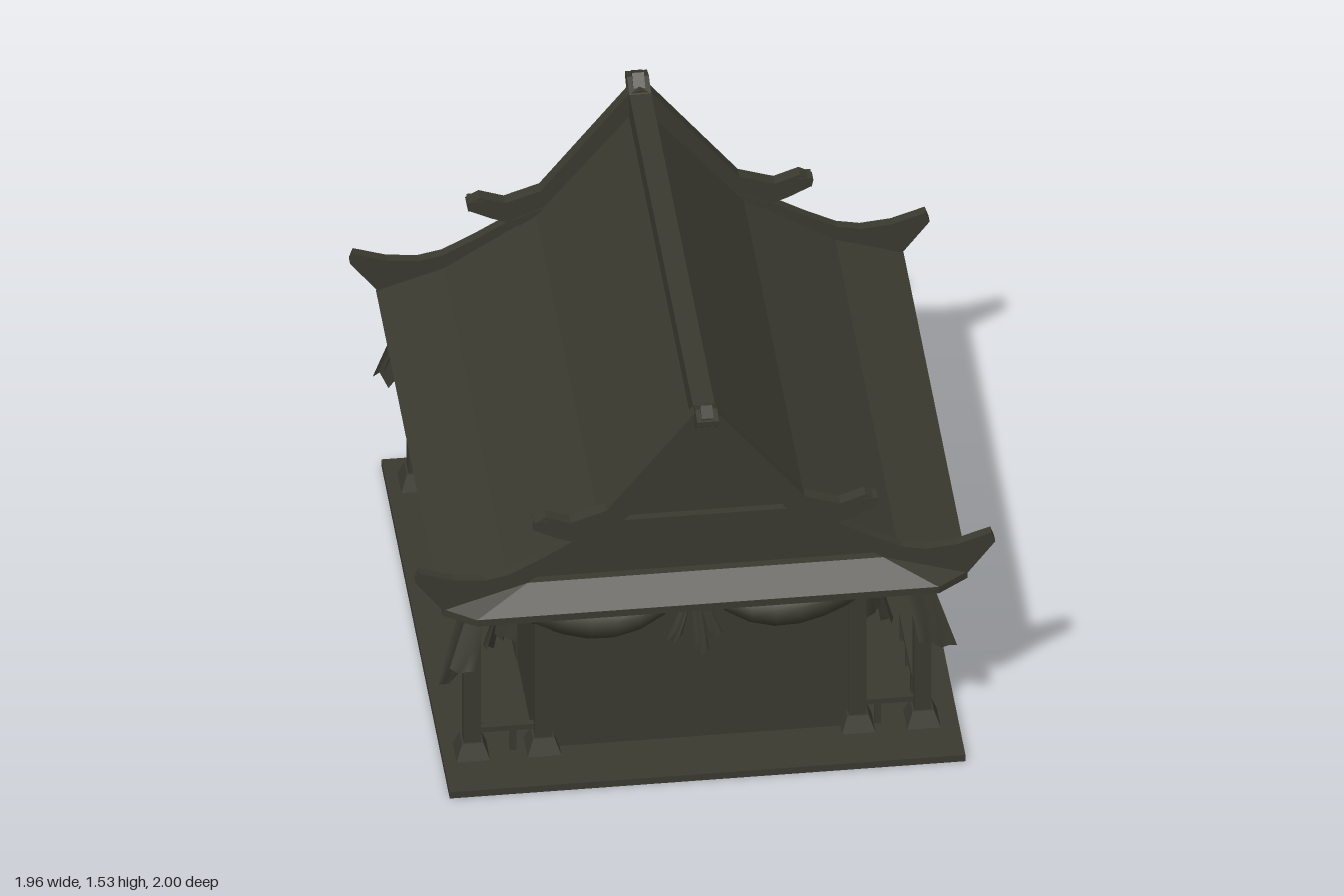
import * as THREE from 'three';

const timber = new THREE.MeshStandardMaterial({ color: 0x3a392f, side: THREE.DoubleSide });
timber.name = 'dark olive timber';

export function createModel() {
  const model = new THREE.Group();
  const add = (name, geo, x = 0, y = 0, z = 0, parent = model) => {
    const m = new THREE.Mesh(geo, timber);
    m.name = name;
    m.position.set(x, y, z);
    parent.add(m);
    return m;
  };
  const box = (name, w, h, d, x, y, z, parent) =>
    add(name, new THREE.BoxGeometry(w, h, d), x, y, z, parent);
  const shapeOf = pts => new THREE.Shape(pts.map(p => new THREE.Vector2(p[0], p[1])));
  const prism = (shape, depth) =>
    new THREE.ExtrudeGeometry(shape, { depth, bevelEnabled: false, curveSegments: 6 });
  // Square tapered block standing on y = 0
  const taper = (bottom, top, h) => {
    const g = new THREE.CylinderGeometry(top * Math.SQRT2, bottom * Math.SQRT2, h, 4).toNonIndexed();
    g.rotateY(Math.PI / 4).translate(0, h / 2, 0).computeVertexNormals();
    return g;
  };
  const mirror = pts => [...pts, ...pts.map(([x, y]) => [-x, y]).reverse()];
  const signs = [1, -1];

  // Floor slab, open under the room
  const floor = shapeOf([[-0.87, -0.985], [0.87, -0.985], [0.87, 0.905], [-0.87, 0.905]]);
  floor.holes.push(new THREE.Path([[-0.53, -0.75], [-0.53, 0.75], [0.53, 0.75], [0.53, -0.75]]
    .map(p => new THREE.Vector2(...p))));
  add('floorSlab', prism(floor, 0.026).rotateX(-Math.PI / 2));

  // Room walls and arched side doors, seen inside and out
  const arch = new THREE.Shape();
  arch.moveTo(-0.255, 0.026);
  arch.lineTo(0.255, 0.026);
  arch.lineTo(0.255, 0.33);
  arch.quadraticCurveTo(0.23, 0.48, 0.085, 0.515);
  arch.lineTo(-0.085, 0.515);
  arch.quadraticCurveTo(-0.23, 0.48, -0.255, 0.33);
  for (const s of signs) {
    box('endWall', 1.1, 0.7, 0.02, 0, 0.37, s * 0.76);
    box('sideWall', 0.02, 0.7, 1.52, s * 0.545, 0.37, 0);
    const door = add('archedDoor', prism(arch, 0.03).translate(0, 0, -0.015), s * 0.545, 0, 0.015);
    door.rotation.y = Math.PI / 2;
  }

  // Columns with plinths and capitals, then corner railings
  for (const sx of signs) for (const sz of signs) {
    for (const x of [sx * 0.53, sx * 0.76 - 0.01]) {
      const column = new THREE.Group();
      column.name = Math.abs(x) > 0.6 ? 'cornerColumn' : 'wallColumn';
      column.position.set(x, 0, sz * 0.765);
      model.add(column);
      add('plinth', taper(0.057, 0.036, 0.06), 0, 0.025, 0, column);
      box('shaft', 0.058, 0.66, 0.058, 0, 0.39, 0, column);
      add('capital', taper(0.038, 0.055, 0.09), 0, 0.63, 0, column);
    }
    box('sideRail', 0.022, 0.02, 0.44, sx * 0.74, 0.12, sz * 0.525);
    for (const z of [0.605, 0.455, 0.31])
      box('railPost', 0.018, 0.09, 0.018, sx * 0.74, 0.07, sz * z);
    box('endRail', 0.18, 0.02, 0.022, sx * 0.65, 0.12, sz * 0.765);
    box('railPost', 0.022, 0.09, 0.018, sx * 0.615 - 0.015, 0.07, sz * 0.765);
  }

  // Eave slab with cut corners
  const eave = shapeOf([[0.885, -0.92], [0.885, 0.92], [0.78, 0.995], [-0.78, 0.995],
    [-0.885, 0.92], [-0.885, -0.92], [-0.78, -0.995], [0.78, -0.995]]);
  add('eaveSlab', prism(eave, 0.026).rotateX(-Math.PI / 2), 0, 0.715, 0);

  // Main roof, a curved profile run along z
  const roof = shapeOf(mirror([[0.04, 1.39], [0.35, 1.01], [0.66, 0.815], [0.89, 0.74], [0.885, 0.725]]));
  add('mainRoof', prism(roof, 1.79), 0, 0, -0.895);

  // Sloping skirt with a small ledge under each gable
  const skirtGeometry = () => {
    const low = [[-0.885, 0.74, 0.92], [-0.78, 0.74, 0.995], [0.78, 0.74, 0.995], [0.885, 0.74, 0.92]];
    const [a, b] = [[-0.6, 0.83, 0.925], [0.6, 0.83, 0.925]];
    const [c, d] = [[-0.6, 0.83, 0.89], [0.6, 0.83, 0.89]];
    const faces = [[low[0], low[1], a], [low[1], low[2], b], [low[1], b, a], [low[2], low[3], b],
      [a, b, d], [a, d, c]];
    const g = new THREE.BufferGeometry();
    g.setAttribute('position', new THREE.Float32BufferAttribute(faces.flat(2), 3));
    g.computeVertexNormals();
    return g;
  };

  // Barge boards with upturned ends
  const upperBarge = [[0, 1.5], [0.04, 1.485], [0.335, 1.11], [0.455, 1.07], [0.54, 1.1], [0.585, 1.075],
    [0.58, 1.05], [0.5, 1.01], [0.445, 0.99], [0.4, 1.0], [0.28, 1.06], [0, 1.385]];
  const lowerBarge = [[0.4, 1.015], [0.56, 0.922], [0.665, 0.868], [0.745, 0.852], [0.85, 0.862],
    [0.965, 0.9], [0.978, 0.862], [0.885, 0.74], [0.6, 0.83], [0.41, 0.975]];
  const sill = [[0.44, 0.975], [0.43, 1.0], [0.28, 1.06]];
  for (const s of signs) {
    const gable = new THREE.Group();
    gable.name = 'gableEnd';
    gable.rotation.y = s > 0 ? 0 : Math.PI;
    model.add(gable);
    add('gableSkirt', skirtGeometry(), 0, 0, 0, gable);
    add('gableSill', prism(shapeOf(mirror(sill)), 0.04), 0, 0, 0.882, gable);
    for (const m of signs) {
      const flip = pts => shapeOf(pts.map(([x, y]) => [m * x, y]));
      add('upperBargeBoard', prism(flip(upperBarge), 0.045), 0, 0, 0.885, gable);
      add('lowerBargeBoard', prism(flip(lowerBarge), 0.035), 0, 0, 0.89, gable);
      box('scrollEnd', 0.05, 0.035, 0.052, m * 0.555, 1.068, 0.907, gable);
    }
  }

  // Ridge beam, with narrower raised ends
  const ridge = shapeOf(mirror([[0.88, 1.487], [0.945, 1.515], [0.998, 1.5], [0.995, 1.478],
    [0.925, 1.425], [0.885, 1.38]]));
  add('ridgeBeam', prism(ridge, 0.074).translate(0, 0, -0.037).rotateY(Math.PI / 2));
  const tip = shapeOf([[0.9, 1.495], [0.945, 1.53], [0.99, 1.508], [0.99, 1.495]]);
  for (const s of signs) {
    const cap = add('ridgeTip', prism(tip, 0.04).translate(0, 0, -0.02));
    cap.rotation.y = -s * Math.PI / 2;
  }

  // Cloth: a grid whose points follow a rule of (u, v)
  const cloth = (nu, nv, rule) => {
    const g = new THREE.PlaneGeometry(1, 1, nu, nv);
    const p = g.attributes.position;
    for (let i = 0; i < p.count; i++) p.setXYZ(i, ...rule(p.getX(i) + 0.5, 0.5 - p.getY(i)));
    g.computeVertexNormals();
    return g;
  };
  const swag = m => cloth(8, 5, (u, v) => {
    const t = m > 0 ? u : 1 - u;
    const sag = Math.sin(Math.PI * Math.pow(t, 0.8));
    const top = 0.68 + 0.035 * t - 0.03 * sag;
    const bottom = 0.645 - 0.005 * t - 0.18 * sag;
    return [m * (0.02 + 0.67 * t), top + (bottom - top) * v, 0.07 * Math.sin(Math.PI * v) * (0.2 + sag)];
  });
  // Hanging tail: leans sideways by lean, swings out by flare and twists by skew
  const tail = (x, lean, top, bottom, w0, w1, flare, skew) => cloth(4, 4, (u, v) => {
    const fold = Math.round(u * 4) % 2 ? 1 : -1;
    const w = w0 + (w1 - w0) * v;
    const end = bottom + 0.06 * Math.abs(u - 0.4) + 0.012 * fold;
    return [x + lean * v + (u - 0.5) * w, top + (end - top) * v,
      flare * v + skew * (u - 0.5) * (0.4 + 0.6 * v) + 0.012 * fold * v];
  });

  // Draped curtains: wide ones on the gable ends, others close to the side walls
  const drapes = new THREE.Group();
  drapes.name = 'drapes';
  drapes.position.set(-0.02, 0, -0.035);
  model.add(drapes);
  for (let k = 0; k < 4; k++) {
    const onSide = k % 2 === 1;
    const drape = new THREE.Group();
    drape.name = onSide ? 'sideDrape' : 'endDrape';
    drape.rotation.y = k * Math.PI / 2;
    drapes.add(drape);
    const d = onSide ? 0.585 : 0.81;
    // Tail start, sideways lean and outward flare for each pair
    const tails = onSide ? [[0.65, -0.03, 0.32, 0.08], [0.67, -0.02, 0.37, 0.05]]
      : [[0.74, 0.09, 0.35, 0.04], [0.72, 0.08, 0.4, 0.06]];
    add('knot', new THREE.CylinderGeometry(0.034, 0.026, 0.07, 8), 0, 0.675, d + 0.03, drape);
    add('knotTail', tail(0, 0.02, 0.65, 0.405, 0.03, 0.05, 0.03, 0), 0, 0, d + 0.035, drape);
    for (const m of signs) {
      add('swag', swag(m), 0, 0, d, drape);
      add('knotTail', tail(m * 0.015, m * 0.055, 0.65, 0.455, 0.02, 0.05, 0.02, 0), 0, 0, d + 0.025, drape);
      tails.forEach(([x, lean, bottom, flare], i) => add('cornerTail',
        tail(m * x, m * lean, 0.71, bottom, 0.06, 0.1, flare, m * (i ? -0.07 : 0.06)), 0, 0, d, drape));
    }
  }
  return model;
}
